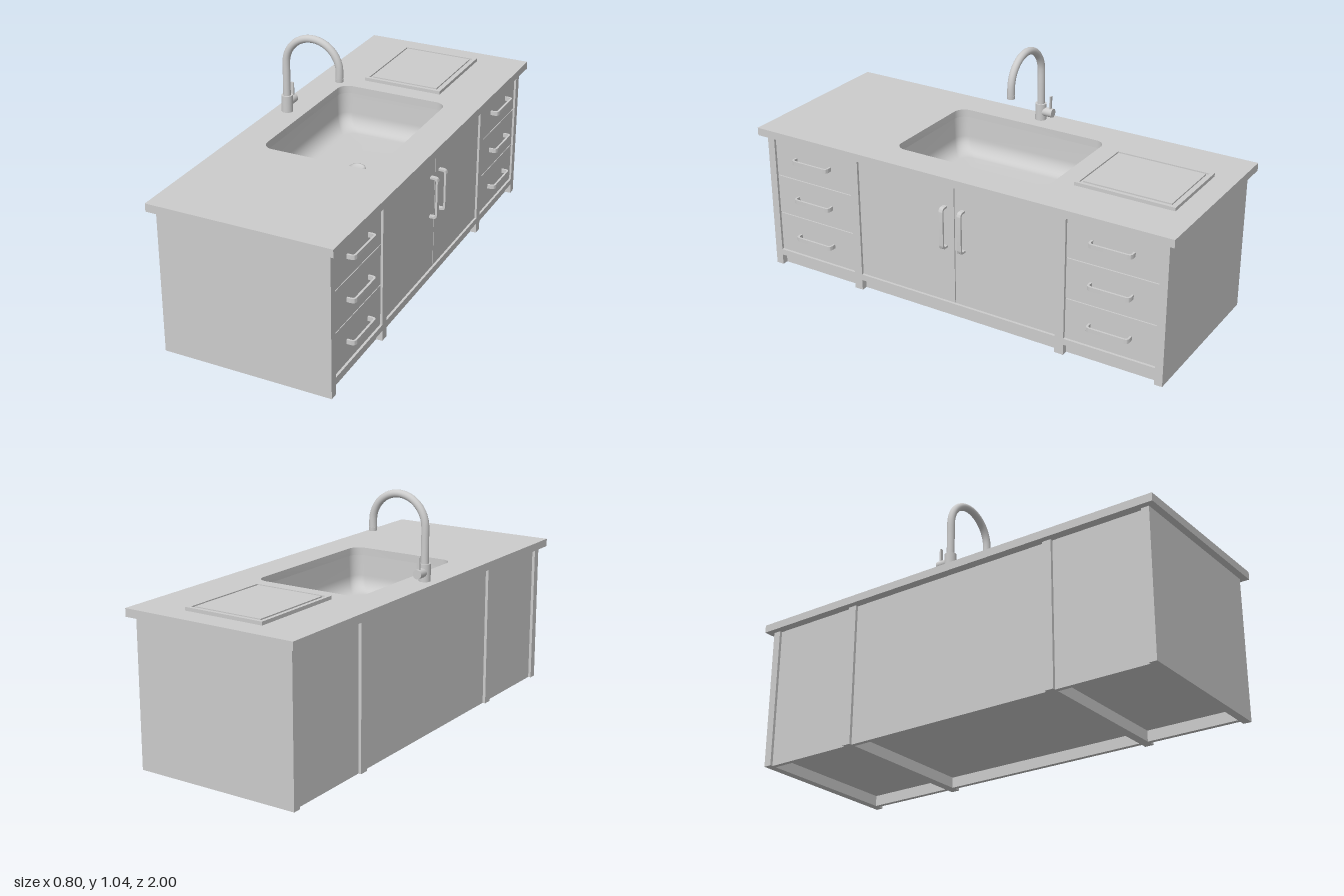
import * as THREE from 'three';
import { toCreasedNormals } from 'three/addons/utils/BufferGeometryUtils.js';

const grey = new THREE.MeshStandardMaterial({ color: 0xcccccc });
const greyDouble = new THREE.MeshStandardMaterial({ color: 0xcccccc, side: THREE.DoubleSide });

function add(parent, name, geometry, x = 0, y = 0, z = 0, material = grey) {
  const mesh = new THREE.Mesh(geometry, material);
  mesh.name = name;
  mesh.position.set(x, y, z);
  parent.add(mesh);
  return mesh;
}

// Box given by its limits along each axis
function slab(parent, name, x0, x1, y0, y1, z0, z1) {
  return add(parent, name, new THREE.BoxGeometry(x1 - x0, y1 - y0, z1 - z0),
    (x0 + x1) / 2, (y0 + y1) / 2, (z0 + z1) / 2);
}

// Corner-rounded rectangle as a loop of 2D points
function roundedLoop(halfW, halfD, r, steps = 8) {
  const pts = [];
  [[1, 1], [-1, 1], [-1, -1], [1, -1]].forEach(([sx, sy], q) => {
    for (let i = 0; i <= steps; i++) {
      const a = (q + i / steps) * Math.PI / 2;
      pts.push(new THREE.Vector2(sx * (halfW - r) + r * Math.cos(a), sy * (halfD - r) + r * Math.sin(a)));
    }
  });
  return pts;
}

const rect = (w, d) => [[-w, -d], [w, -d], [w, d], [-w, d]].map(p => new THREE.Vector2(...p));

// Horizontal plate with a hole, top face at y = 0
function plateWithHole(outer, hole, thickness) {
  const shape = new THREE.Shape(outer);
  shape.holes.push(new THREE.Path(hole));
  const g = new THREE.ExtrudeGeometry(shape, { depth: thickness, bevelEnabled: false });
  g.rotateX(Math.PI / 2);
  return toCreasedNormals(g, 0.6);
}

// Bowl lofted through rounded-rectangle sections
function bowlGeometry() {
  const sections = [[-0.004, 0.635, 0.054], [0, 0.54, 0.05]];
  for (let i = 1; i <= 8; i++) {
    const a = i / 8 * Math.PI / 2;
    sections.push([0.06 * (1 - Math.cos(a)), 0.54 - 0.07 * Math.sin(a), 0.05]);
  }
  sections.push([0.14, 0.467, 0.04]);
  const pos = [], index = [];
  let n = 0;
  for (const [inset, y, r] of sections) {
    const loop = roundedLoop(0.255 - inset, 0.37 - inset, r);
    n = loop.length;
    loop.forEach(p => pos.push(p.x, y, p.y));
  }
  for (let s = 0; s < sections.length - 1; s++) {
    for (let i = 0; i < n; i++) {
      const a = s * n + i, b = s * n + (i + 1) % n;
      index.push(a, b, a + n, b, b + n, a + n);
    }
  }
  const last = (sections.length - 1) * n;
  pos.push(0, 0.462, 0);
  for (let i = 0; i < n; i++) index.push(last + i, last + (i + 1) % n, last + n);
  const g = new THREE.BufferGeometry();
  g.setAttribute('position', new THREE.Float32BufferAttribute(pos, 3));
  g.setIndex(index);
  g.computeVertexNormals();
  return g;
}

// Bent strap handle, running along y and standing out along +x
function handleGeometry() {
  const L = 0.096, h = 0.037, t = 0.009, r = 0.02, w = 0.019;
  const s = new THREE.Shape();
  s.moveTo(-L, 0);
  s.lineTo(-L + t, 0);
  s.lineTo(-L + t, h - r);
  s.quadraticCurveTo(-L + t, h - t, -L + r, h - t);
  s.lineTo(L - r, h - t);
  s.quadraticCurveTo(L - t, h - t, L - t, h - r);
  s.lineTo(L - t, 0);
  s.lineTo(L, 0);
  s.lineTo(L, h - r);
  s.quadraticCurveTo(L, h, L - r, h);
  s.lineTo(-L + r, h);
  s.quadraticCurveTo(-L, h, -L, h - r);
  const g = new THREE.ExtrudeGeometry(s, { depth: w, bevelEnabled: false, curveSegments: 8 });
  g.translate(0, 0, -w / 2);
  g.rotateZ(-Math.PI / 2);
  return toCreasedNormals(g, 0.6);
}

function buildFaucet() {
  const faucet = new THREE.Group();
  faucet.name = 'faucet';
  const x0 = -0.337, r = 0.1275, cx = x0 + r, cy = 0.895;
  add(faucet, 'faucetBase', new THREE.CylinderGeometry(0.025, 0.025, 0.075, 32), x0, 0.7075, 0);

  // Gooseneck spout
  const pts = [[x0, 0.74], [x0, 0.79], [x0, 0.84]];
  for (let i = 0; i <= 16; i++) {
    const a = Math.PI * (1 - i / 16);
    pts.push([cx + r * Math.cos(a), cy + r * Math.sin(a)]);
  }
  pts.push([cx + r, 0.86]);
  const path = new THREE.CatmullRomCurve3(pts.map(p => new THREE.Vector3(p[0], p[1], 0)));
  add(faucet, 'spout', new THREE.TubeGeometry(path, 72, 0.0165, 20));
  add(faucet, 'spoutTip', new THREE.CylinderGeometry(0.0175, 0.0165, 0.016, 24), cx + r, 0.861, 0);

  // Side valve and lever
  add(faucet, 'valve', new THREE.CylinderGeometry(0.02, 0.02, 0.05, 24).rotateX(Math.PI / 2), x0, 0.709, -0.037);
  add(faucet, 'lever', new THREE.BoxGeometry(0.014, 0.075, 0.007), x0, 0.748, -0.049);
  return faucet;
}

export function createModel() {
  const model = new THREE.Group();
  model.name = 'kitchenIsland';

  // Worktop with sink cut-out
  add(model, 'worktop', plateWithHole(rect(0.4, 1), roundedLoop(0.255, 0.37, 0.05), 0.035), 0, 0.67, 0);

  // Sink
  add(model, 'sinkBowl', bowlGeometry(), 0, 0, 0, greyDouble);
  const drainProfile = [[0, 0.464], [0.027, 0.464], [0.03, 0.471], [0.036, 0.471], [0.039, 0.462]];
  add(model, 'drain', new THREE.LatheGeometry(drainProfile.map(p => new THREE.Vector2(...p)), 32), 0, 0, 0, greyDouble);

  // Chopping board with a groove near its edge
  const board = new THREE.Group();
  board.name = 'choppingBoard';
  board.position.set(0, 0.67, -0.6775);
  add(board, 'boardRim', plateWithHole(rect(0.185, 0.2225), rect(0.169, 0.2065), 0.015), 0, 0.015, 0);
  slab(board, 'boardBase', -0.17, 0.17, 0, 0.009, -0.207, 0.207);
  slab(board, 'boardCentre', -0.158, 0.158, 0.009, 0.015, -0.1955, 0.1955);
  model.add(board);

  model.add(buildFaucet());

  // Upright panels reaching the floor
  const X = 0.373, top = 0.635;
  for (const s of [-1, 1]) {
    const uprights = [['endPanel', 0.935, 0.97], ['divider', 0.485, 0.525]];
    for (const [name, a, b] of uprights) {
      slab(model, name, -X, X, 0, top, Math.min(s * a, s * b), Math.max(s * a, s * b));
    }
  }

  // Shell of each bay: bottom board, plinths, back and front backing
  for (const [z0, z1] of [[-0.935, -0.525], [-0.485, 0.485], [0.525, 0.935]]) {
    slab(model, 'bottomBoard', -0.355, X, 0.048, 0.076, z0, z1);
    slab(model, 'frontPlinth', 0.325, 0.345, 0, 0.048, z0, z1);
    slab(model, 'backPanel', -0.36, -0.34, 0, top, z0, z1);
    slab(model, 'frontBacking', 0.335, 0.348, 0.076, top, z0, z1);
  }

  const handle = handleGeometry();
  const face = 0.364, gap = 0.002;

  // Drawers in both outer bays
  const levels = [0.076, 0.262, 0.446, 0.634];
  for (const s of [-1, 1]) {
    for (let i = 0; i < 3; i++) {
      slab(model, 'drawerFront', 0.348, face, levels[i] + gap, levels[i + 1] - gap,
        s * 0.73 - 0.205 + gap, s * 0.73 + 0.205 - gap);
      const m = add(model, 'drawerHandle', handle, face - 0.001, [0.17, 0.357, 0.544][i], s * 0.73);
      m.rotation.x = Math.PI / 2;
    }
    // Doors in the middle bay
    slab(model, 'door', 0.348, face, 0.076 + gap, 0.632,
      s > 0 ? gap : -0.485 + gap, s > 0 ? 0.485 - gap : -gap);
    add(model, 'doorHandle', handle, face - 0.001, 0.43, s * 0.044);
  }
  return model;
}
